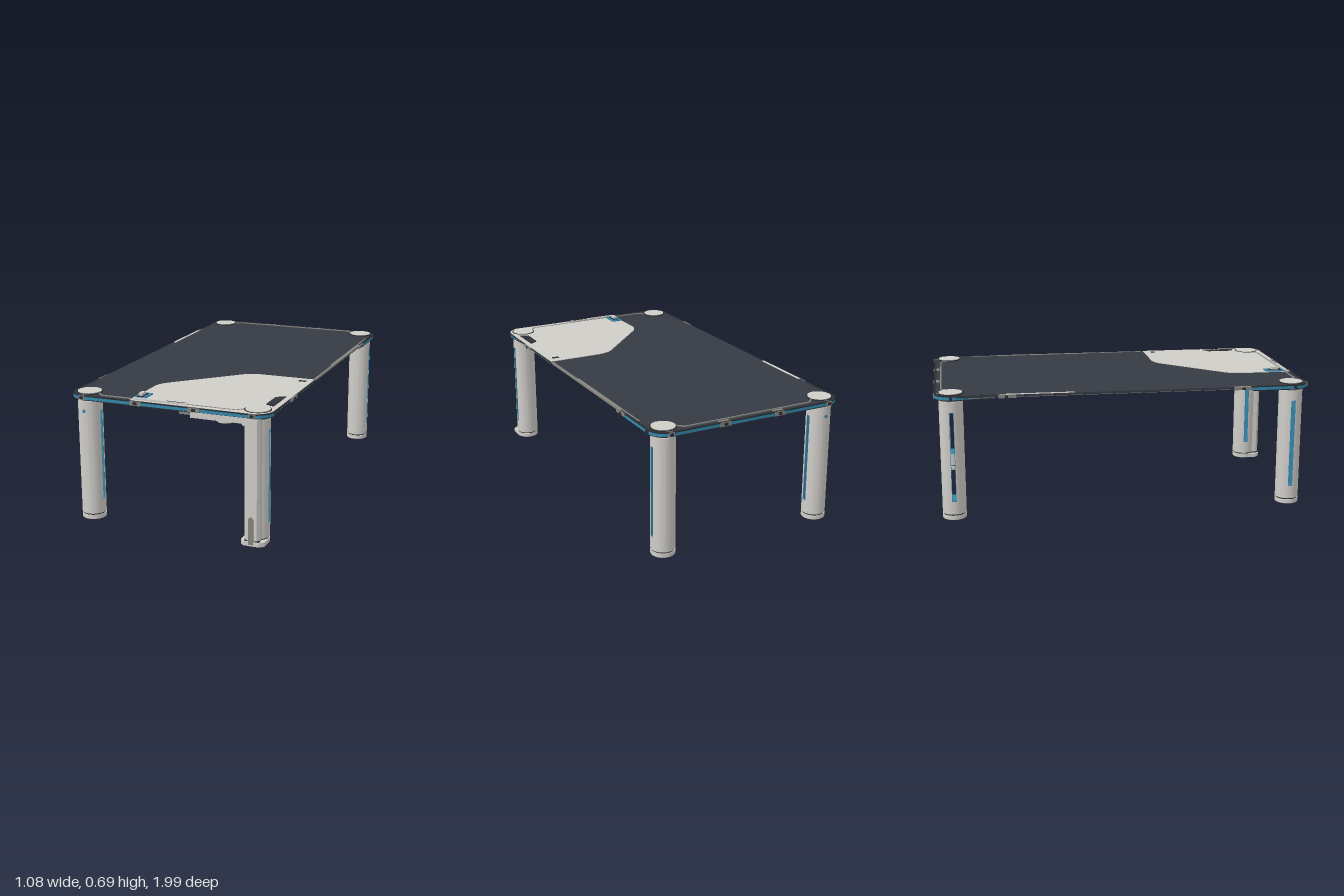
import * as THREE from 'three';
import { toCreasedNormals } from 'three/addons/utils/BufferGeometryUtils.js';

const material = (name, color) => Object.assign(new THREE.MeshStandardMaterial({ color }), { name });
const light = material('light grey shell', 0xcfcdc8);
const dark = material('dark slate', 0x353a43);
const blue = material('blue trim', 0x3486ac);
const mid = material('mid grey metal', 0x85847f);
const black = material('charcoal', 0x2b2e31);

function add(parent, name, geometry, mat, x = 0, y = 0, z = 0) {
  const mesh = new THREE.Mesh(geometry, mat);
  mesh.name = name;
  mesh.position.set(x, y, z);
  parent.add(mesh);
  return mesh;
}
const box = (p, name, mat, x0, x1, y0, y1, z0, z1) =>
  add(p, name, new THREE.BoxGeometry(x1 - x0, y1 - y0, z1 - z0), mat, (x0 + x1) / 2, (y0 + y1) / 2, (z0 + z1) / 2);
const cylinder = (p, name, mat, r, y0, y1, x = 0, z = 0) =>
  add(p, name, new THREE.CylinderGeometry(r, r, y1 - y0, 40), mat, x, (y0 + y1) / 2, z);

// Horizontal plate: the shape is drawn in x and z
function plate(p, name, mat, shape, y0, y1) {
  const g = new THREE.ExtrudeGeometry(shape, { depth: y1 - y0, bevelEnabled: false, curveSegments: 14 });
  g.rotateX(Math.PI / 2);
  return add(p, name, toCreasedNormals(g, 0.6), mat, 0, y1, 0);
}
const polygon = (pts) => new THREE.Shape(pts.map(([x, z]) => new THREE.Vector2(x, z)));

// Rounded rectangle with half sizes w, d and corner radius r
function rounded(w, d, r, Type = THREE.Shape) {
  const s = new Type();
  s.absarc(w - r, d - r, r, 0, Math.PI / 2);
  s.absarc(r - w, d - r, r, Math.PI / 2, Math.PI);
  s.absarc(r - w, r - d, r, Math.PI, Math.PI * 1.5);
  s.absarc(w - r, r - d, r, Math.PI * 1.5, Math.PI * 2);
  s.closePath();
  return s;
}

// U-shaped band round one end of the table
function endBand(w, d, r, t, zEnd) {
  const s = new THREE.Shape();
  s.moveTo(w, zEnd);
  s.absarc(w - r, d - r, r, 0, Math.PI / 2);
  s.absarc(r - w, d - r, r, Math.PI / 2, Math.PI);
  s.lineTo(-w, zEnd);
  s.lineTo(t - w, zEnd + t);
  s.absarc(r - w, d - r, r - t, Math.PI, Math.PI / 2, true);
  s.absarc(w - r, d - r, r - t, Math.PI / 2, 0, true);
  s.lineTo(w - t, zEnd + t);
  s.closePath();
  return s;
}

function makeLeg() {
  const leg = new THREE.Group();
  const R = 0.062, S = 0.012;
  cylinder(leg, 'foot', light, R, 0.003, 0.024);
  cylinder(leg, 'footPad', mid, R - 0.003, 0, 0.003);
  cylinder(leg, 'footGroove', black, R - 0.004, 0.024, 0.031);
  cylinder(leg, 'lowerLeg', light, R, 0.031, 0.1);
  cylinder(leg, 'upperLeg', light, R, 0.575, 0.63);
  cylinder(leg, 'neck', mid, R - 0.005, 0.63, 0.652);
  // Slotted middle made of two half shells
  const a = Math.asin(S / R);
  for (const turn of [0, Math.PI]) {
    const half = new THREE.Shape();
    half.absarc(0, 0, R, a + turn, Math.PI - a + turn);
    half.closePath();
    plate(leg, 'slottedShell', light, half, 0.1, 0.575);
  }
  for (const s of [-1, 1]) {
    const z = s * (S - 0.001);
    box(leg, 'slotLining', blue, -0.06, 0.06, 0.1, 0.575, z - 0.001, z + 0.001);
  }
  for (const y of [0.1, 0.573]) box(leg, 'slotEnd', blue, -0.06, 0.06, y, y + 0.002, -S, S);
  return leg;
}

export function createModel() {
  const table = new THREE.Group();
  table.name = 'table';

  // Table top
  plate(table, 'tableTop', dark, rounded(0.53, 0.982, 0.088), 0.653, 0.664);
  const lip = rounded(0.522, 0.974, 0.08);
  lip.holes.push(rounded(0.508, 0.96, 0.066, THREE.Path));
  plate(table, 'undersideLip', mid, lip, 0.649, 0.653);

  // Legs and the round caps above them
  for (const x of [-0.45, 0.45]) for (const z of [-0.9, 0.9]) {
    const leg = makeLeg();
    leg.name = 'leg';
    leg.position.set(x, 0, z);
    table.add(leg);
    cylinder(table, 'capRing', black, 0.066, 0.662, 0.6685, x, z);
    cylinder(table, 'legCap', light, 0.06, 0.662, 0.672, x, z);
  }

  // End rims, clips and inlaid lines, turned for the back end
  for (const turn of [0, Math.PI]) {
    const end = new THREE.Group();
    end.name = 'endRim';
    end.rotation.y = turn;
    table.add(end);
    plate(end, 'blueBand', blue, endBand(0.533, 0.985, 0.09, 0.026, 0.66), 0.645, 0.66);
    plate(end, 'lowerRim', black, endBand(0.53, 0.982, 0.088, 0.02, 0.67), 0.64, 0.645);
    plate(end, 'upperRim', black, endBand(0.533, 0.985, 0.09, 0.012, 0.66), 0.66, 0.6655);
    for (const x of [-0.45, -0.155, 0.155, 0.45]) {
      const w = Math.abs(x) > 0.3 ? 0.016 : 0.03;
      box(end, 'endClip', mid, x - w, x + w, 0.643, 0.665, 0.955, 0.988);
      box(end, 'clipBolt', black, x - 0.009, x + 0.009, 0.648, 0.662, 0.985, 0.993);
    }
    for (const s of [-1, 1]) {
      const x = s * 0.524;
      box(end, 'sideClip', mid, x - 0.012, x + 0.012, 0.648, 0.664, 0.57, 0.66);
      box(end, 'sideBolt', black, s * 0.536 - 0.005, s * 0.536 + 0.005, 0.65, 0.662, 0.612, 0.628);
      box(end, 'cornerBolt', black, s * 0.536 - 0.005, s * 0.536 + 0.005, 0.648, 0.662, 0.892, 0.908);
      box(end, 'sideGrip', blue, s * 0.495 - 0.012, s * 0.495 + 0.012, 0.642, 0.653, 0.68, 0.82);
    }
    const line = [[-0.4, 0.915], [-0.385, 0.915], [-0.355, 0.944], [0.355, 0.944], [0.385, 0.915], [0.4, 0.915],
      [0.4, 0.922], [0.388, 0.922], [0.358, 0.952], [-0.358, 0.952], [-0.388, 0.922], [-0.4, 0.922]];
    plate(end, 'inlaidLine', mid, polygon(line), 0.663, 0.6685);
  }

  // Light strips along the long sides
  box(table, 'sideStrip', mid, 0.511, 0.519, 0.663, 0.6655, -0.78, -0.07);
  box(table, 'sideStrip', light, -0.53, -0.516, 0.658, 0.6665, -0.62, -0.27);
  box(table, 'sideStrip', mid, 0.519, 0.531, 0.656, 0.6655, -0.6, 0.26);

  // Corner panel, above and below the top
  const panel = new THREE.Shape();
  panel.moveTo(-0.19, 0.976);
  panel.lineTo(-0.19, 0.7);
  panel.quadraticCurveTo(-0.19, 0.645, -0.15, 0.605);
  panel.lineTo(0.13, 0.32);
  panel.quadraticCurveTo(0.175, 0.272, 0.24, 0.272);
  panel.lineTo(0.529, 0.272);
  panel.lineTo(0.529, 0.893);
  panel.absarc(0.442, 0.893, 0.087, 0, Math.PI / 2);
  panel.closePath();
  plate(table, 'cornerPanel', light, panel, 0.663, 0.667);
  plate(table, 'cornerPanelUnderside', light, panel, 0.651, 0.654);
  plate(table, 'vent', black, polygon([[0.455, 0.67], [0.503, 0.637], [0.503, 0.832], [0.455, 0.808]]), 0.666, 0.6685);
  for (let i = 0; i < 6; i++)
    box(table, 'ventSlat', dark, 0.46, 0.5, 0.668, 0.671, 0.675 + i * 0.023, 0.683 + i * 0.023);
  box(table, 'panelMark', black, 0.46, 0.5, 0.666, 0.668, 0.315, 0.337);
  box(table, 'panelEdgeBar', light, -0.18, 0.11, 0.664, 0.676, 0.95, 0.963);
  box(table, 'panelEdgeInset', black, 0, 0.1, 0.675, 0.677, 0.954, 0.959);

  // Blue latch with its knob
  box(table, 'latchPlate', blue, -0.187, -0.127, 0.664, 0.673, 0.842, 0.945);
  box(table, 'latchInset', black, -0.175, -0.142, 0.672, 0.675, 0.86, 0.93);
  box(table, 'latchKnob', light, -0.171, -0.151, 0.672, 0.688, 0.875, 0.915);

  // Column and arm on the front left leg
  const column = new THREE.Group();
  column.name = 'frontColumn';
  table.add(column);
  plate(column, 'columnShell', light,
    polygon([[0.41, 0.93], [0.49, 0.93], [0.49, 0.972], [0.478, 0.987], [0.425, 0.987], [0.41, 0.972]]), 0.031, 0.64);
  plate(column, 'columnFoot', light,
    polygon([[0.39, 0.9], [0.512, 0.9], [0.512, 0.968], [0.49, 0.988], [0.41, 0.988], [0.39, 0.968]]), 0.002, 0.024);
  box(column, 'columnGroove', black, 0.413, 0.487, 0.023, 0.032, 0.92, 0.982);
  box(column, 'columnInset', mid, 0.435, 0.461, 0.01, 0.138, 0.98, 0.99);
  const tip = add(column, 'columnInsetTip', new THREE.CylinderGeometry(0.013, 0.013, 0.01, 24), mid, 0.448, 0.138, 0.985);
  tip.rotation.x = Math.PI / 2;
  const arm = polygon([[0.135, 0.614], [0.395, 0.614], [0.405, 0.604], [0.44, 0.604], [0.46, 0.63], [0.46, 0.643], [0.135, 0.643]]);
  add(column, 'arm', new THREE.ExtrudeGeometry(arm, { depth: 0.035, bevelEnabled: false }), light, 0, 0, 0.948);
  box(column, 'armEnd', mid, 0.075, 0.135, 0.627, 0.643, 0.952, 0.98);

  // Small round lights on the right legs
  for (const s of [-1, 1]) {
    const lamp = add(table, 'legLight', new THREE.CylinderGeometry(0.009, 0.009, 0.004, 16), blue, -0.453, 0.577, s * 0.962);
    lamp.rotation.x = Math.PI / 2;
  }
  return table;
}
